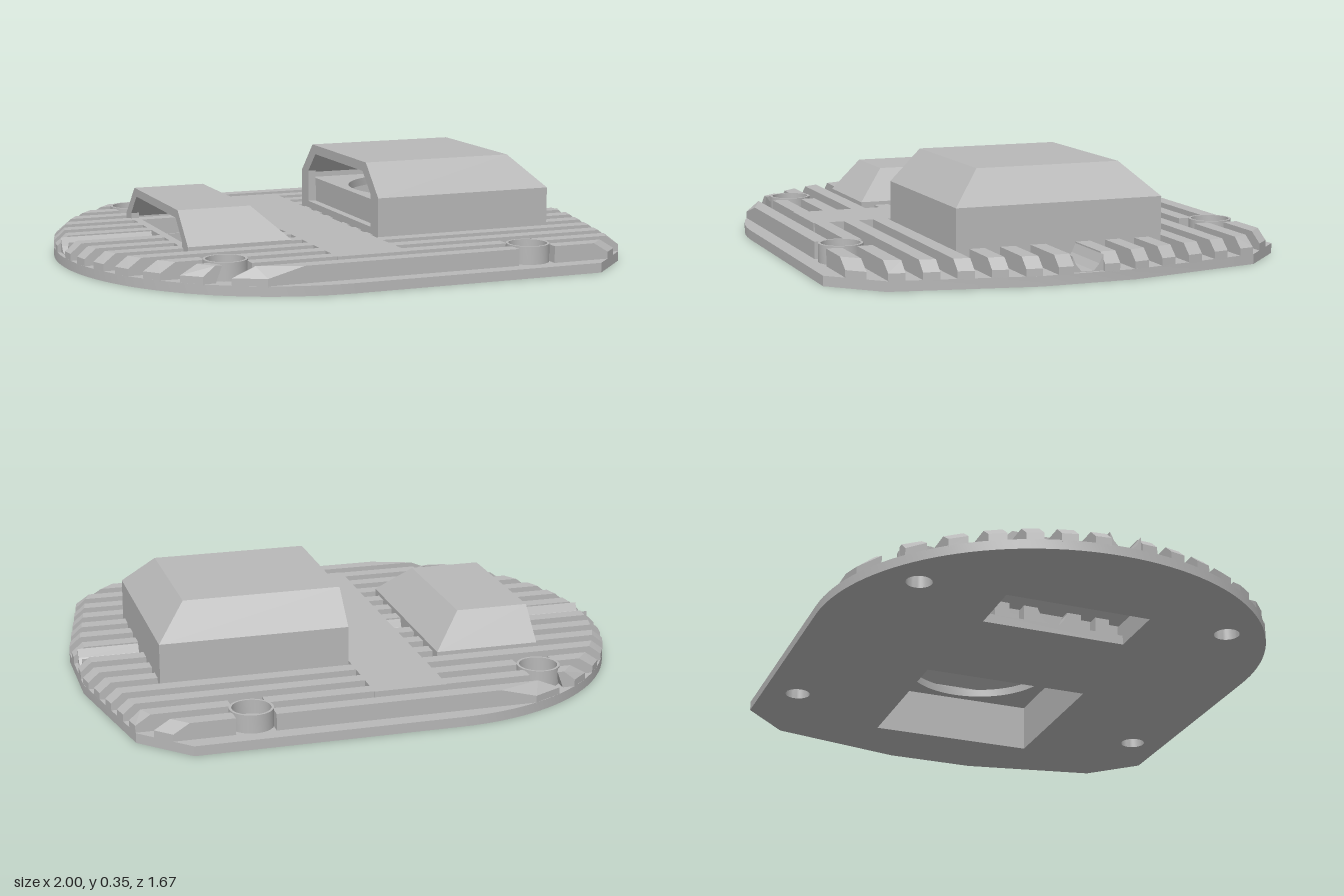
import * as THREE from 'three';
import { ConvexGeometry } from 'three/addons/geometries/ConvexGeometry.js';
import { toCreasedNormals } from 'three/addons/utils/BufferGeometryUtils.js';

const FLOOR = 0.035, TOP = 0.095, BEVEL = 0.04;
const SCREWS = [[-0.575, 0.58], [-0.575, -0.58], [0.51, 0.705], [0.51, -0.705]];

// Plate outline as x limits at a given z, optionally inset
const leftEdge = (z, inset = 0) =>
  -0.2 - (0.8 - inset) * Math.sqrt(Math.max(0, 1 - (z / (0.835 - inset)) ** 2));
const rightEdge = (z, inset = 0) => Math.min(
  1 - inset,
  1 - (Math.abs(z) - 0.17) * 0.2 - inset * 1.02,
  0.9 - (Math.abs(z) - 0.67) - inset * 1.41);

const path = (pts, Type = THREE.Path) => new Type(pts.map(p => new THREE.Vector2(...p)));
const rectPath = (x0, x1, z) => path([[x0, -z], [x1, -z], [x1, z], [x0, z]]);

// Extrude a (z, y) profile along x from x0 to x1
function extrudeX(shape, x0, x1) {
  const g = new THREE.ExtrudeGeometry(shape, { depth: x1 - x0, bevelEnabled: false });
  return g.rotateY(-Math.PI / 2).translate(x1, 0, 0);
}

// Extrude an (x, z) outline upward from y0
function extrudeY(shape, y0, height) {
  const g = new THREE.ExtrudeGeometry(shape, { depth: height, bevelEnabled: false, curveSegments: 32 });
  return toCreasedNormals(g.rotateX(-Math.PI / 2).translate(0, y0, 0), 0.5);
}

// Stack of rectangles [x0, x1, halfZ, y]; inward flips the faces
function loft(rings, { closed = false, cap = true, inward = false } = {}) {
  const pos = [];
  const tri = (a, b, c) => pos.push(...a, ...(inward ? c : b), ...(inward ? b : c));
  const corners = rings.map(([x0, x1, z, y]) => [[x0, y, -z], [x1, y, -z], [x1, y, z], [x0, y, z]]);
  for (let i = 0; i + 1 < corners.length; i++) {
    for (let k = 0; k < (closed ? 4 : 3); k++) {
      const n = (k + 1) % 4, lo = corners[i], hi = corners[i + 1];
      tri(lo[k], hi[k], lo[n]);
      tri(lo[n], hi[k], hi[n]);
    }
  }
  if (cap) {
    const [a, b, c, d] = corners[corners.length - 1];
    tri(a, d, c);
    tri(a, c, b);
  }
  const g = new THREE.BufferGeometry();
  g.setAttribute('position', new THREE.Float32BufferAttribute(pos, 3));
  g.computeVertexNormals();
  return g;
}

// Split the span -2..2 around the cut intervals
function segments(cuts) {
  const out = [];
  let start = -2;
  for (const [a, b] of cuts.sort((p, q) => p[0] - q[0])) {
    out.push([start, a]);
    start = b;
  }
  out.push([start, 2]);
  return out;
}

// Rib piece; ends that reach the outline are bevelled
function ribGeometry(z0, z1, from, to) {
  const pts = [];
  for (const z of [z0, z1]) {
    for (const [y, inset] of [[0.03, 0], [0.06, 0], [TOP, BEVEL]]) {
      pts.push(new THREE.Vector3(Math.max(from, leftEdge(z, inset)), y, z));
      pts.push(new THREE.Vector3(Math.min(to, rightEdge(z, inset)), y, z));
    }
  }
  return new ConvexGeometry(pts);
}

export function createModel() {
  const model = new THREE.Group();
  const grey = new THREE.MeshStandardMaterial({ color: 0xb8b8b8, side: THREE.DoubleSide });
  grey.name = 'plainGrey';
  const add = (name, geometry, parent = model) => {
    const mesh = new THREE.Mesh(geometry, grey);
    mesh.name = name;
    parent.add(mesh);
    return mesh;
  };
  const group = name => {
    const g = new THREE.Group();
    g.name = name;
    model.add(g);
    return g;
  };

  // Base plate with screw holes and two cavities
  const outline = [];
  for (let i = 0; i <= 64; i++) {
    const a = Math.PI / 2 + (i / 64) * Math.PI;
    outline.push([-0.2 + 0.8 * Math.cos(a), 0.835 * Math.sin(a)]);
  }
  outline.push([0.735, -0.835], [0.9, -0.67], [1, -0.17], [1, 0.17], [0.9, 0.67], [0.735, 0.835]);
  const base = path(outline, THREE.Shape);
  for (const [x, z] of SCREWS) base.holes.push(new THREE.Path().absarc(x, z, 0.046, 0, Math.PI * 2, true));
  base.holes.push(rectPath(0.11, 0.73, 0.315), rectPath(-0.59, -0.36, 0.27));
  add('basePlate', extrudeY(base, 0, FLOOR));

  // Grip ribs, interrupted by cavities and screw cups
  const ribs = group('gripRibs');
  for (const side of [1, -1]) {
    for (let k = 0; k < 7; k++) {
      const near = 0.056 + 0.111 * k, far = near + 0.055;
      const cuts = [];
      if (far < 0.34) cuts.push([0.09, 0.745]);
      if (near < 0.27) cuts.push([-0.63, -0.35]);
      for (const [x, z] of SCREWS.filter(s => s[1] > 0)) {
        const dz = Math.max(near - z, z - far, 0);
        if (dz < 0.07) {
          const dx = Math.sqrt(0.072 ** 2 - dz ** 2);
          cuts.push([x - dx, x + dx]);
        }
      }
      for (const [a, b] of segments(cuts)) add('rib', ribGeometry(side * near, side * far, a, b), ribs);
    }
  }

  // Central groove strip
  const groove = group('centreGroove');
  const grooveShape = path([[-0.056, 0.03], [0.056, 0.03], [0.056, 0.09], [0.042, 0.06], [0.022, 0.037],
    [-0.022, 0.037], [-0.042, 0.06], [-0.056, 0.09]], THREE.Shape);
  for (const [a, b] of [[-0.985, -0.63], [-0.35, 0.09], [0.745, 0.985]]) {
    add('grooveStrip', extrudeX(grooveShape, a, b), groove);
  }

  // Flat band across the ribs
  const band = new THREE.BoxGeometry(0.265, TOP - 0.03, 1.34);
  add('crossBand', band.translate(-0.0675, (TOP + 0.03) / 2, 0));

  // Screw cups: thin rim, recessed seat and through hole
  const cup = toCreasedNormals(new THREE.LatheGeometry(
    [[0.077, 0.03], [0.077, 0.1], [0.068, 0.1], [0.068, 0.05], [0.046, 0.05], [0.046, 0]]
      .map(p => new THREE.Vector2(...p)), 32), 0.5);
  const cups = group('screwCups');
  for (const [x, z] of SCREWS) add('screwCup', cup, cups).position.set(x, 0, z);

  // Large hollow housing
  const large = group('largeHousing');
  add('outerShell', loft([[0.075, 0.76, 0.38, 0.03], [0.075, 0.76, 0.38, 0.235], [0.075, 0.65, 0.265, 0.35]]), large);
  add('lowerCavity', loft([[0.11, 0.73, 0.315, 0], [0.11, 0.73, 0.315, 0.21]],
    { closed: true, cap: false, inward: true }), large);
  add('upperCavity', loft([[0.105, 0.73, 0.335, 0.21], [0.105, 0.73, 0.335, 0.23], [0.105, 0.635, 0.245, 0.32]],
    { inward: true }), large);
  const shelf = path([[0.105, -0.34], [0.735, -0.34], [0.735, 0.34], [0.105, 0.34]], THREE.Shape);
  shelf.holes.push(new THREE.Path().absarc(0.42, 0, 0.28, 0, Math.PI * 2, true));
  add('shelf', extrudeY(shelf, 0.18, 0.03), large);
  const largeFace = path([[-0.38, 0.03], [0.38, 0.03], [0.38, 0.235], [0.265, 0.35], [-0.265, 0.35], [-0.38, 0.235]],
    THREE.Shape);
  largeFace.holes.push(path([[-0.31, 0.12], [0.31, 0.12], [0.31, 0.24], [0.235, 0.315], [-0.235, 0.315], [-0.31, 0.24]]));
  add('windowFrame', extrudeX(largeFace, 0.075, 0.105), large);

  // Small hollow housing
  const small = group('smallHousing');
  add('outerShell', loft([[-0.645, -0.26, 0.385, 0.03], [-0.645, -0.26, 0.385, 0.108], [-0.645, -0.375, 0.27, 0.22]]), small);
  add('cavity', loft([[-0.615, -0.3, 0.34, FLOOR], [-0.615, -0.3, 0.34, 0.1], [-0.615, -0.39, 0.25, 0.19]],
    { inward: true }), small);
  const smallFace = path([[-0.385, 0.03], [0.385, 0.03], [0.385, 0.108], [0.27, 0.22], [-0.27, 0.22], [-0.385, 0.108]],
    THREE.Shape);
  smallFace.holes.push(path([[-0.32, 0.095], [0.32, 0.095], [0.32, 0.115], [0.245, 0.19], [-0.245, 0.19], [-0.32, 0.115]]));
  add('windowFrame', extrudeX(smallFace, -0.645, -0.615), small);

  return model;
}
